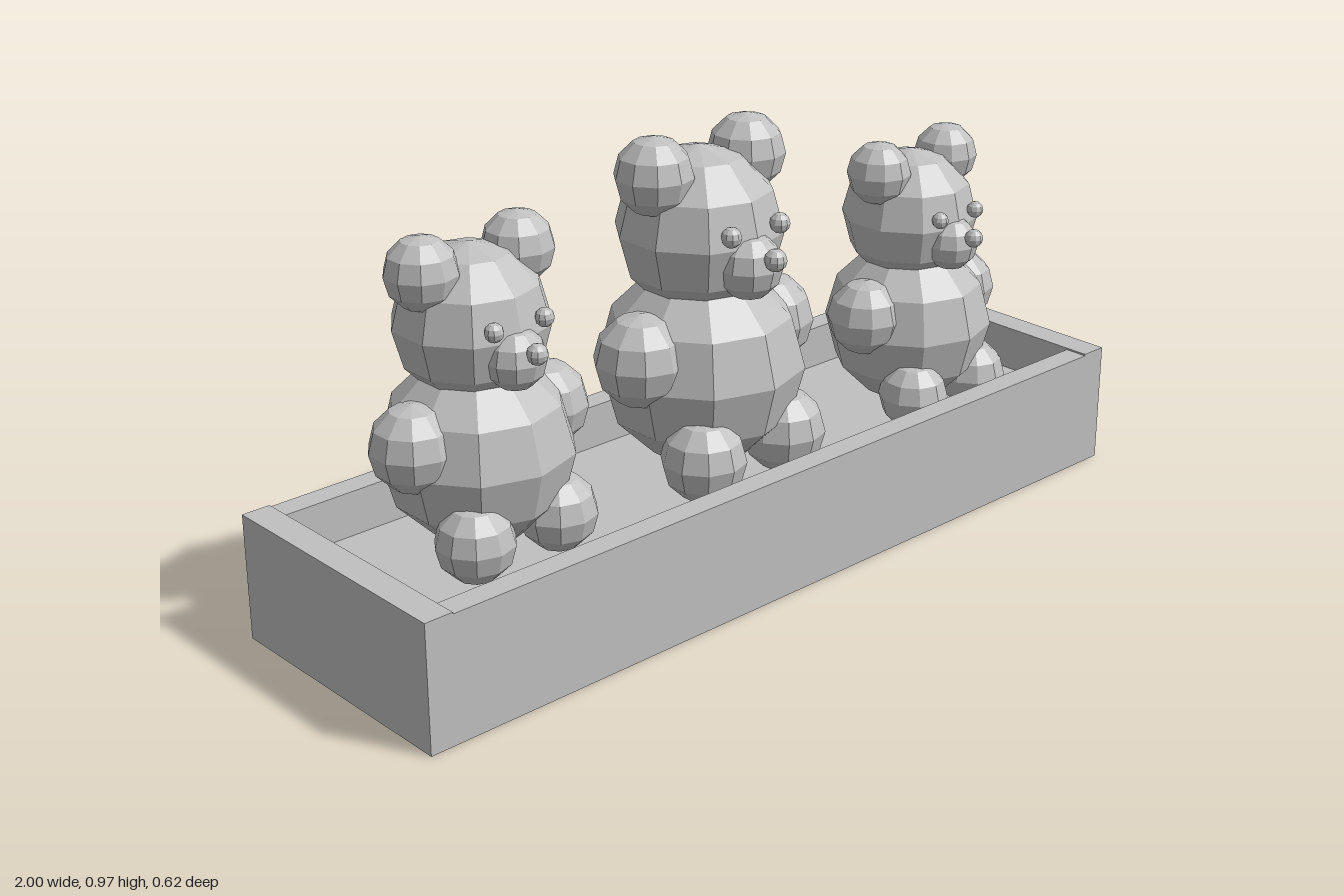
import * as THREE from 'three';

const grey = new THREE.MeshStandardMaterial({ color: 0xc0c0c0, flatShading: true });
grey.name = 'light grey';

// Low-poly ball with a corner facing front and back
function ball(parent, name, r, x, y, z, sides = 10, rings = 6) {
  const geometry = new THREE.SphereGeometry(r, sides, rings).rotateY(Math.PI / 2);
  const mesh = new THREE.Mesh(geometry, grey);
  mesh.name = name;
  mesh.position.set(x, y, z);
  parent.add(mesh);
}

function board(parent, name, w, h, d, x, y, z) {
  const mesh = new THREE.Mesh(new THREE.BoxGeometry(w, h, d), grey);
  mesh.name = name;
  mesh.position.set(x, y + h / 2, z);
  parent.add(mesh);
}

// Seated bear, standing on its own y = 0
function makeBear(name) {
  const bear = new THREE.Group();
  bear.name = name;
  ball(bear, 'body', 0.194, 0, 0.21, 0);
  ball(bear, 'head', 0.156, 0, 0.468, -0.005);
  ball(bear, 'muzzle', 0.062, 0, 0.428, 0.125);
  ball(bear, 'nose', 0.021, 0, 0.455, 0.192);
  for (const [side, s] of [['left', 1], ['right', -1]]) {
    ball(bear, side + 'Ear', 0.073, s * 0.112, 0.589, 0);
    ball(bear, side + 'Eye', 0.019, s * 0.059, 0.498, 0.142);
    ball(bear, side + 'Arm', 0.088, s * 0.157, 0.258, 0.012);
    ball(bear, side + 'Leg', 0.08, s * 0.1, 0.08, 0.115);
  }
  return bear;
}

export function createModel() {
  const model = new THREE.Group();
  model.name = 'bearsInTray';

  // Open tray: floor, long walls and slightly taller ends
  const tray = new THREE.Group();
  tray.name = 'tray';
  board(tray, 'trayFloor', 1.87, 0.18, 0.51, 0, 0, 0);
  for (const [side, s] of [['front', 1], ['back', -1]])
    board(tray, side + 'Wall', 1.87, 0.28, 0.055, 0, 0, s * 0.2825);
  for (const [side, s] of [['left', 1], ['right', -1]])
    board(tray, side + 'EndWall', 0.065, 0.284, 0.62, s * 0.9675, 0, 0);
  model.add(tray);

  // Three bears of different sizes
  for (const [name, x, z, size] of [
    ['rightBear', -0.6, -0.043, 1.0625],
    ['middleBear', 0, -0.023, 1.19],
    ['leftBear', 0.6, 0.04, 1],
  ]) {
    const bear = makeBear(name);
    bear.position.set(x, 0.18, z);
    bear.scale.setScalar(size);
    model.add(bear);
  }
  return model;
}
